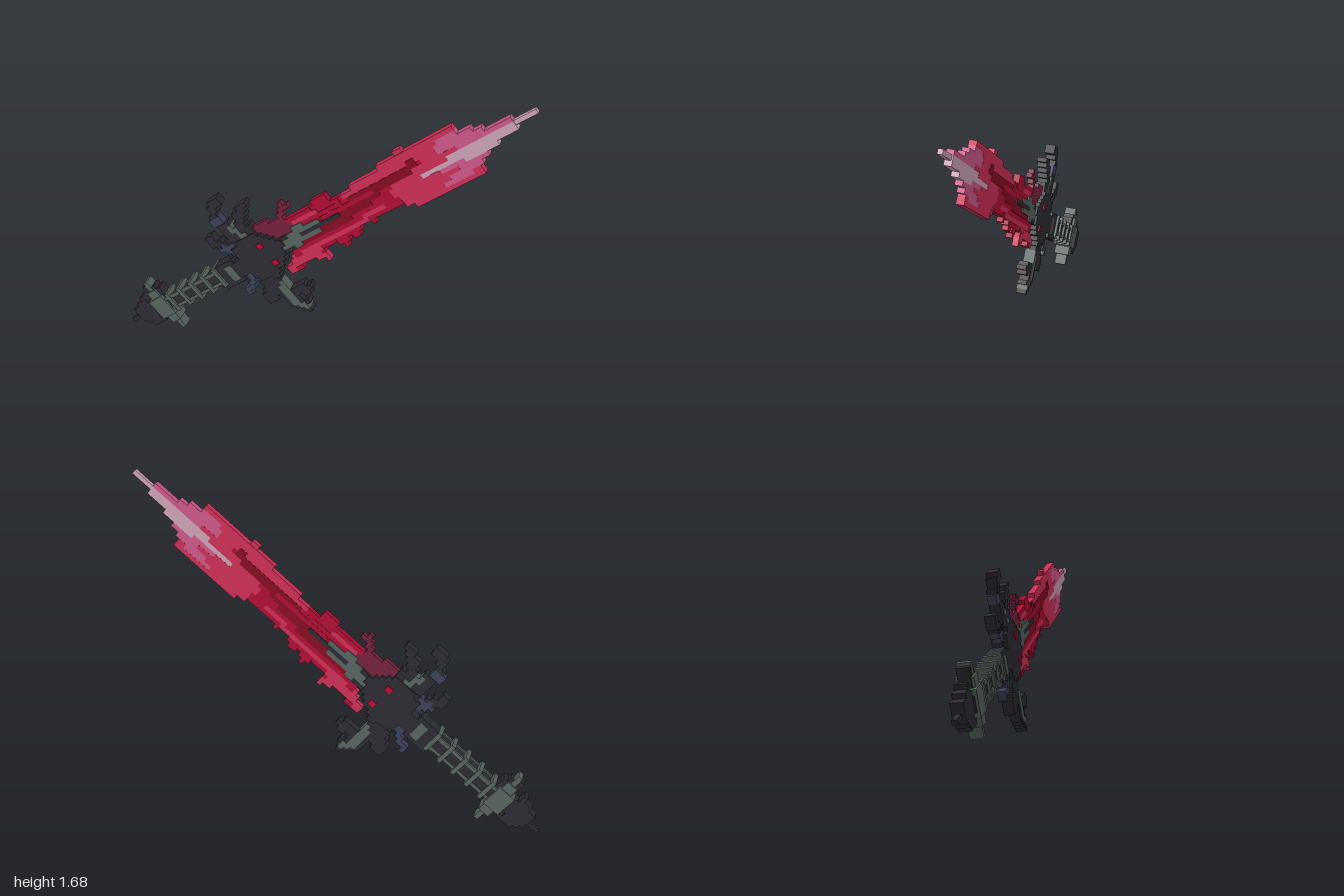
import * as THREE from 'three';
import { mergeGeometries } from 'three/addons/utils/BufferGeometryUtils.js';

const C = 0.0225; // voxel size
const ANGLE = 40 * Math.PI / 180, OX = -0.993, OY = 0.012;
const cos = Math.cos(ANGLE), sin = Math.sin(ANGLE);

const paint = (name, color) => {
  const m = new THREE.MeshStandardMaterial({ color });
  m.name = name;
  return m;
};

// upright coordinates (hundredths) to sword coordinates: along the blade, across it
const tilt = pts => pts.map(([x, y]) => {
  const dx = x / 100 - OX, dy = y / 100 - OY;
  return [(dx * cos + dy * sin) * 100, (dy * cos - dx * sin) * 100];
});

const inside = (pts, u, v) => {
  let hit = false;
  for (let i = 0, j = pts.length - 1; i < pts.length; j = i++) {
    const [a, b] = pts[i], [c, d] = pts[j];
    if ((b > v) !== (d > v) && u < (c - a) * (v - b) / (d - b) + a) hit = !hit;
  }
  return hit;
};

export function createModel() {
  const iron = paint('darkIron', 0x2b2b32), grey = paint('greySteel', 0x56625f);
  const blue = paint('slateBlue', 0x3d4058), maroon = paint('maroon', 0x73203c);
  const dark = paint('darkRed', 0x850b22), red = paint('red', 0xae0d33);
  const crimson = paint('crimson', 0xcb2e55), pink = paint('pink', 0xcb5788);
  const pale = paint('palePink', 0xcaa0b4), eyeRed = paint('eyeRed', 0xc00a30);

  const sword = new THREE.Group();
  sword.name = 'sword';
  const cells = new Map();

  // fill an outline (hundredths) with voxels; later fills replace earlier ones
  const fill = (part, mat, depth, pts) => {
    const us = pts.map(p => p[0] / 100), vs = pts.map(p => p[1] / 100);
    for (let j = Math.floor(Math.min(...vs) / C); j <= Math.max(...vs) / C + 1; j++)
      for (let i = Math.floor(Math.min(...us) / C); i <= Math.max(...us) / C + 1; i++)
        if (inside(pts, (i + 0.5) * C * 100, j * C * 100)) cells.set(i + ',' + j, { part, mat, depth });
  };
  const fillUpright = (part, mat, depth, pts) => fill(part, mat, depth, tilt(pts));

  const block = (name, mat, u0, u1, v0, v1, depth, z = 0) => {
    const m = new THREE.Mesh(new THREE.BoxGeometry(u1 - u0, v1 - v0, depth), mat);
    m.position.set((u0 + u1) / 2, (v0 + v1) / 2, z);
    m.name = name;
    sword.add(m);
  };

  // blade silhouette
  fill('blade', red, 0.036, [[105, -16], [111, -16], [120, -12], [131, -12], [145, -13], [153, -11], [178, -9.5],
    [195, -13], [215, -12.5], [225, -9], [235, -4.5], [248, -2.3], [248, 2.3], [235, 4], [229, 7], [220, 9.5],
    [200, 11], [180, 8], [160, 7.5], [137, 9.8], [112, 9], [108, 0], [113, -8]]);
  // jagged teeth along both edges
  for (const [u, v, s, len, mat] of [[140, 8, 1, 5, red], [146, 7, 1, 6, red], [155, 6, 1, 3, red],
    [185, 8, 1, 5, crimson], [192, 9, 1, 5, crimson], [199, 9, 1, 4, crimson], [126, 11, -1, 4, red],
    [140, 11, -1, 6, red], [147, 10, -1, 5, red], [160, 9, -1, 4, red], [182, 9, -1, 4, crimson],
    [191, 11, -1, 4, crimson]])
    fill('bladeTeeth', mat, 0.03, [[u - 3, s * (v - 2)], [u + 4, s * (v - 2)], [u + 2.6, s * (v + len)], [u - 0.6, s * (v + len)]]);
  // lighter bands toward the tip
  fill('blade', crimson, 0.036, [[150, 5], [165, 10], [190, 12], [222, 12], [222, 4], [180, 5]]);
  fill('blade', crimson, 0.036, [[176, -1], [186, -14], [222, -14], [228, 3], [200, 4]]);
  fill('blade', crimson, 0.036, [[116, 4], [140, 5.5], [140, 8], [116, 7.5]]);
  fill('blade', crimson, 0.036, [[118, -9], [170, -6], [170, -8.2], [118, -12]]);
  fill('bladePoint', pink, 0.034, [[208, 5], [214, 10.5], [221, 9.5], [229, 7], [235, 4], [248, 2.3], [248, -2.3],
    [235, -4.5], [225, -9], [216, -12.4], [203, -12.8], [203, -10], [214, -7], [203, -4], [203, -2], [220, 2]]);
  fill('bladePoint', pale, 0.034, [[195, -1.2], [195, -3.4], [218, -4.5], [236, -4.5], [248, -2.3], [248, 1.2], [226, 1.2]]);
  fill('bladeTip', pale, 0.022, [[247, -1], [259, -1], [259, 1], [247, 1]]);
  // dark core
  fill('bladeCore', dark, 0.04, [[108, -5], [150, -5], [172, -1.2], [176, 1], [198, 2.5], [198, 7], [184, 6], [160, 4.6], [135, 3.4], [112, 6]]);
  fill('bladeCore', red, 0.04, [[140, 0.8], [172, 0.8], [172, 3.2], [140, 3.2]]);

  // steel sheath at the blade root
  fill('bladeRoot', grey, 0.05, [[103, -7], [116, -6], [126, -3.4], [143, -1.2], [143, 1.2], [132, 3.4], [120, 6.5], [104, 7]]);
  fill('bladeRoot', iron, 0.05, [[124, -1.2], [148, -1.2], [148, 1.2], [124, 1.2]]);
  fill('bladeRoot', iron, 0.05, [[106, 1.2], [118, 1.2], [118, 3.4], [106, 3.4]]);
  fill('bladeRoot', iron, 0.05, [[106, -5.6], [116, -5.6], [116, -3.4], [106, -3.4]]);

  // flame spurs beside the root
  fillUpright('upperSpur', maroon, 0.03, [[-30, 80], [-23, 84], [-18, 85], [-15, 97], [-12, 95], [-13, 87], [-7, 85], [-15, 76], [-27, 77]]);
  fillUpright('lowerSpur', crimson, 0.03, [[-6, 66], [2, 71.5], [10, 72], [10, 69], [4, 67.5], [-4, 62]]);
  fillUpright('lowerSpur', crimson, 0.03, [[-11, 57], [-8, 56], [-3, 66], [-9, 66]]);

  // guard horns
  const horn = (mat, depth, pts) => fillUpright('guardHorn', mat, depth, pts);
  horn(iron, 0.05, [[-47, 94], [-45, 91], [-48, 86], [-46, 81], [-39, 77], [-31, 71], [-34, 64], [-42, 70], [-49, 76], [-52, 84], [-51, 90]]);
  horn(iron, 0.05, [[-33, 93], [-31, 89], [-34, 85], [-33, 81], [-26, 76], [-31, 71], [-38, 77], [-39, 84], [-38, 88]]);
  horn(iron, 0.05, [[-53, 69], [-47, 67], [-37, 64], [-38, 57], [-47, 61], [-53, 63]]);
  horn(iron, 0.05, [[-26, 52], [-15, 52], [-14, 43], [-18, 35], [-23, 34], [-24, 43]]);
  horn(iron, 0.05, [[-18, 57], [-13, 49], [-7, 44], [0, 40], [1, 34], [-7, 34], [-14, 38], [-19, 46]]);
  horn(iron, 0.05, [[-9, 45], [-3, 50], [1, 52], [1, 47], [-3, 43]]);
  horn(grey, 0.056, [[-42, 79], [-34, 76], [-31, 72], [-34, 70], [-37, 75], [-42, 75]]);
  horn(grey, 0.056, [[-17, 50], [-12, 48], [-7, 41], [0, 38], [0, 35], [-8, 36], [-14, 42]]);
  // bluish feathers between the horns
  horn(blue, 0.04, [[-52, 80], [-46, 81], [-44, 77], [-49, 75]]);
  horn(blue, 0.04, [[-47, 64], [-38, 66], [-37, 60], [-46, 60]]);
  horn(blue, 0.04, [[-35, 55], [-28, 55], [-28, 42], [-31, 37], [-34, 40], [-31, 45]]);

  // guard neck and head
  fillUpright('guardNeck', iron, 0.07, [[-52, 49], [-42, 57], [-31, 54], [-35, 44], [-41, 40], [-47, 40]]);
  fillUpright('guardNeck', grey, 0.076, [[-44, 52], [-41, 54], [-35, 48], [-38, 45]]);
  fillUpright('guardHead', iron, 0.07, [[-36, 70], [-28, 77], [-14, 76], [-12, 64], [-16, 52], [-26, 49], [-36, 54], [-39, 64]]);

  // pommel claws and end spike
  fill('pommelSpike', iron, 0.024, [[0, -1], [12, -1], [12, 1], [0, 1]]);
  fillUpright('pommel', iron, 0.056, [[-95, 5], [-98, 10], [-95, 13], [-93, 20], [-87, 18], [-82, 12], [-86, 5], [-91, 3]]);
  fillUpright('pommelClaw', iron, 0.056, [[-91, 27], [-87, 29], [-80, 28], [-78, 22], [-85, 21]]);
  fillUpright('pommelClaw', iron, 0.056, [[-90, 4], [-84, 10], [-79, 8], [-83, 4], [-89, 2]]);

  // merge the voxel rows into meshes
  const rows = new Map();
  for (const [key, cell] of cells) {
    const [i, j] = key.split(',').map(Number);
    const before = cells.get((i - 1) + ',' + j);
    const same = c => c && c.part === cell.part && c.mat === cell.mat && c.depth === cell.depth;
    if (same(before)) continue;
    let n = 1;
    while (same(cells.get((i + n) + ',' + j))) n++;
    const g = new THREE.BoxGeometry(n * C, C, cell.depth).translate((i + n / 2) * C, j * C, 0);
    const id = cell.part + cell.mat.name + cell.depth;
    if (!rows.has(id)) rows.set(id, { cell, list: [] });
    rows.get(id).list.push(g);
  }
  for (const { cell, list } of rows.values()) {
    const mesh = new THREE.Mesh(mergeGeometries(list), cell.mat);
    mesh.name = cell.part;
    sword.add(mesh);
  }

  // grip with corner rails and rings
  block('grip', iron, 0.2, 0.72, -0.034, 0.034, 0.07);
  for (const s of [-1, 1]) for (const t of [-1, 1])
    block('gripRail', grey, 0.3, 0.68, s * 0.032 - 0.008, s * 0.032 + 0.008, 0.016, t * 0.032);
  for (let k = 0; k < 5; k++) block('gripRing', grey, 0.322 + k * 0.088, 0.344 + k * 0.088, -0.058, 0.058, 0.094);
  // cross bar above the pommel
  block('pommelBar', grey, 0.25, 0.274, -0.16, 0.16, 0.06);
  block('pommelCollar', grey, 0.205, 0.3, -0.06, 0.06, 0.094);
  block('pommelCollarStep', grey, 0.23, 0.29, -0.105, 0.105, 0.08);

  // eyes on both faces
  for (const pt of [[-25, 70], [-17, 62]]) {
    const [[u, v]] = tilt([pt]).map(p => [p[0] / 100, p[1] / 100]);
    for (const t of [-1, 1]) block('eye', eyeRed, u - 0.016, u + 0.016, v - 0.014, v + 0.014, 0.008, t * 0.037);
  }

  sword.rotation.z = ANGLE;
  sword.position.set(OX, OY, 0);
  const model = new THREE.Group();
  model.add(sword);
  return model;
}
